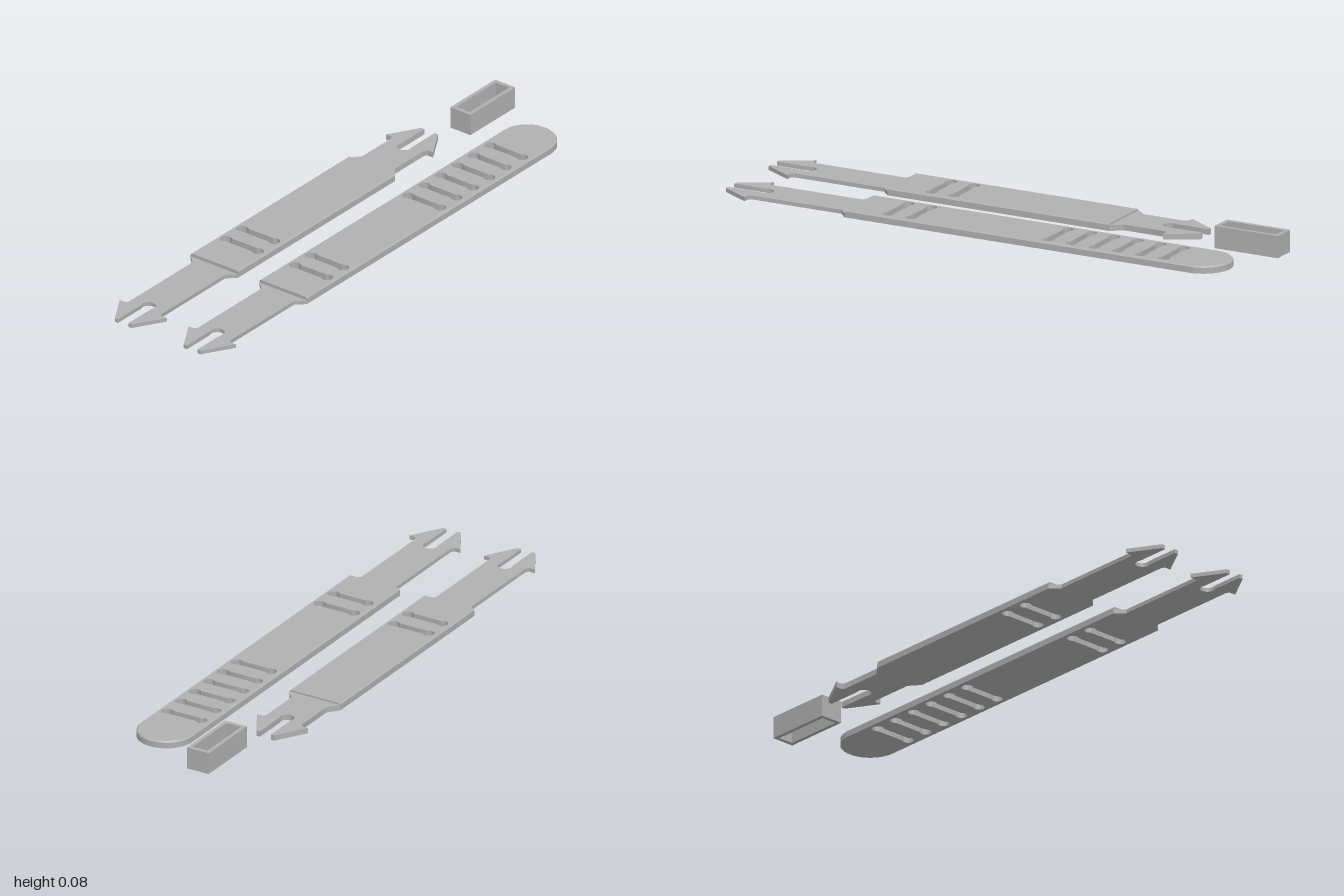
import * as THREE from 'three';
import { toCreasedNormals } from 'three/addons/utils/BufferGeometryUtils.js';

const HALF = 0.101;      // half width of a strap body
const BODY_H = 0.026;    // body thickness
const EDGE_H = 0.021;    // height where the edge chamfer begins
const BEVEL = 0.005;

const grey = new THREE.MeshStandardMaterial({ color: 0xb0b0b0 });
grey.name = 'grey plastic';

// Points on an arc, used for outlines and holes
function arc(cx, cy, r, from, to, n = 14) {
  return Array.from({ length: n + 1 }, (_, i) => {
    const a = from + (to - from) * i / n;
    return new THREE.Vector2(cx + r * Math.cos(a), cy + r * Math.sin(a));
  });
}

// Lay an extruded outline flat, standing on y = 0
function layFlat(geometry, name) {
  geometry.rotateX(-Math.PI / 2);
  const mesh = new THREE.Mesh(toCreasedNormals(geometry, 0.5), grey);
  mesh.name = name;
  return mesh;
}

// Slot with a narrow middle and round, wider ends
function slotHole(x) {
  const r = 0.02, w = 0.014, c = 0.068, a = Math.acos(w / r);
  return new THREE.Path([
    ...arc(x, c, r, -a, Math.PI + a),
    ...arc(x, -c, r, Math.PI - a, 2 * Math.PI + a),
  ]);
}

// Thick middle of a strap: slots, chamfered long edges, optional round end
function strapBody(x0, x1, slots, round) {
  const xr = round ? x1 - HALF : x1;
  const shape = new THREE.Shape([
    new THREE.Vector2(x0, HALF),
    new THREE.Vector2(x0, -HALF),
    ...(round ? arc(xr, 0, HALF, -Math.PI / 2, Math.PI / 2, 32)
      : [new THREE.Vector2(x1, -HALF), new THREE.Vector2(x1, HALF)]),
  ]);
  shape.holes = slots.map(slotHole);
  const geo = new THREE.ExtrudeGeometry(shape, { depth: BODY_H, steps: 2, bevelEnabled: false });
  // Raise the middle ring to the chamfer line and pull in the top rim
  const p = geo.attributes.position;
  for (let i = 0; i < p.count; i++) {
    const x = p.getX(i), y = p.getY(i), z = p.getZ(i);
    if (Math.abs(z - BODY_H / 2) < 1e-4) p.setZ(i, EDGE_H);
    if (z > BODY_H - 1e-4) {
      const dx = Math.max(0, x - xr), d = Math.hypot(dx, y);
      if (d > HALF - 1e-3) {
        const k = (HALF - BEVEL) / HALF;
        p.setX(i, x - dx * (1 - k));
        p.setY(i, y * k);
      }
    }
  }
  return layFlat(geo, 'strapBody');
}

// Thin neck with a split arrowhead; dir is +1 or -1 along x
function arrowEnd(tip, dir, neckEnd, bodyEnd, height) {
  const upper = [
    [bodyEnd, HALF], [neckEnd, 0.07], [tip - dir * 0.12, 0.07],
    [tip - dir * 0.109, 0.076], [tip - dir * 0.109, HALF],
    [tip, 0.036], [tip, 0.022],
  ].map(([x, y]) => new THREE.Vector2(x, y));
  const lower = upper.map(v => new THREE.Vector2(v.x, -v.y)).reverse();
  const r = 0.025, a = Math.asin(0.022 / r);
  const slotEnd = arc(0.137, 0, r, -a, a - 0, 1).length
    ? arc(0, 0, r, Math.PI - (Math.PI - a), 2 * Math.PI - a)
      .map(v => new THREE.Vector2(tip - dir * 0.137 + dir * v.x, v.y))
    : [];
  const shape = new THREE.Shape([...upper, ...slotEnd, ...lower]);
  return layFlat(
    new THREE.ExtrudeGeometry(shape, { depth: height, bevelEnabled: false }), 'arrowEnd');
}

// Rectangular outline centred on the origin
function rectangle(w, d) {
  return [[-w, -d], [w, -d], [w, d], [-w, d]].map(([x, y]) => new THREE.Vector2(x / 2, y / 2));
}

export function createModel() {
  const model = new THREE.Group();
  model.name = 'strapSet';
  const pair = [-0.354, -0.266];

  // Short strap with an arrowhead at both ends
  const shortStrap = new THREE.Group();
  shortStrap.name = 'shortStrap';
  shortStrap.add(
    strapBody(-0.505, 0.35, pair, false),
    arrowEnd(-1, -1, -0.535, -0.505, 0.014),
    arrowEnd(0.665, 1, 0.388, 0.35, 0.02));
  shortStrap.position.z = -0.148;

  // Long strap with a row of adjustment slots and a round end
  const longStrap = new THREE.Group();
  longStrap.name = 'longStrap';
  const row = Array.from({ length: 6 }, (_, i) => 0.262 + i * 0.089);
  longStrap.add(
    strapBody(-0.505, 0.922, [...pair, ...row], true),
    arrowEnd(-1, -1, -0.535, -0.505, 0.014));
  longStrap.position.z = 0.147;

  // Open rectangular keeper loop
  const loopShape = new THREE.Shape(rectangle(0.244, 0.086));
  loopShape.holes.push(new THREE.Path(rectangle(0.216, 0.058)));
  const keeper = layFlat(
    new THREE.ExtrudeGeometry(loopShape, { depth: 0.078, bevelEnabled: false }), 'keeperLoop');
  keeper.position.set(0.878, 0, -0.088);

  model.add(shortStrap, longStrap, keeper);
  return model;
}
